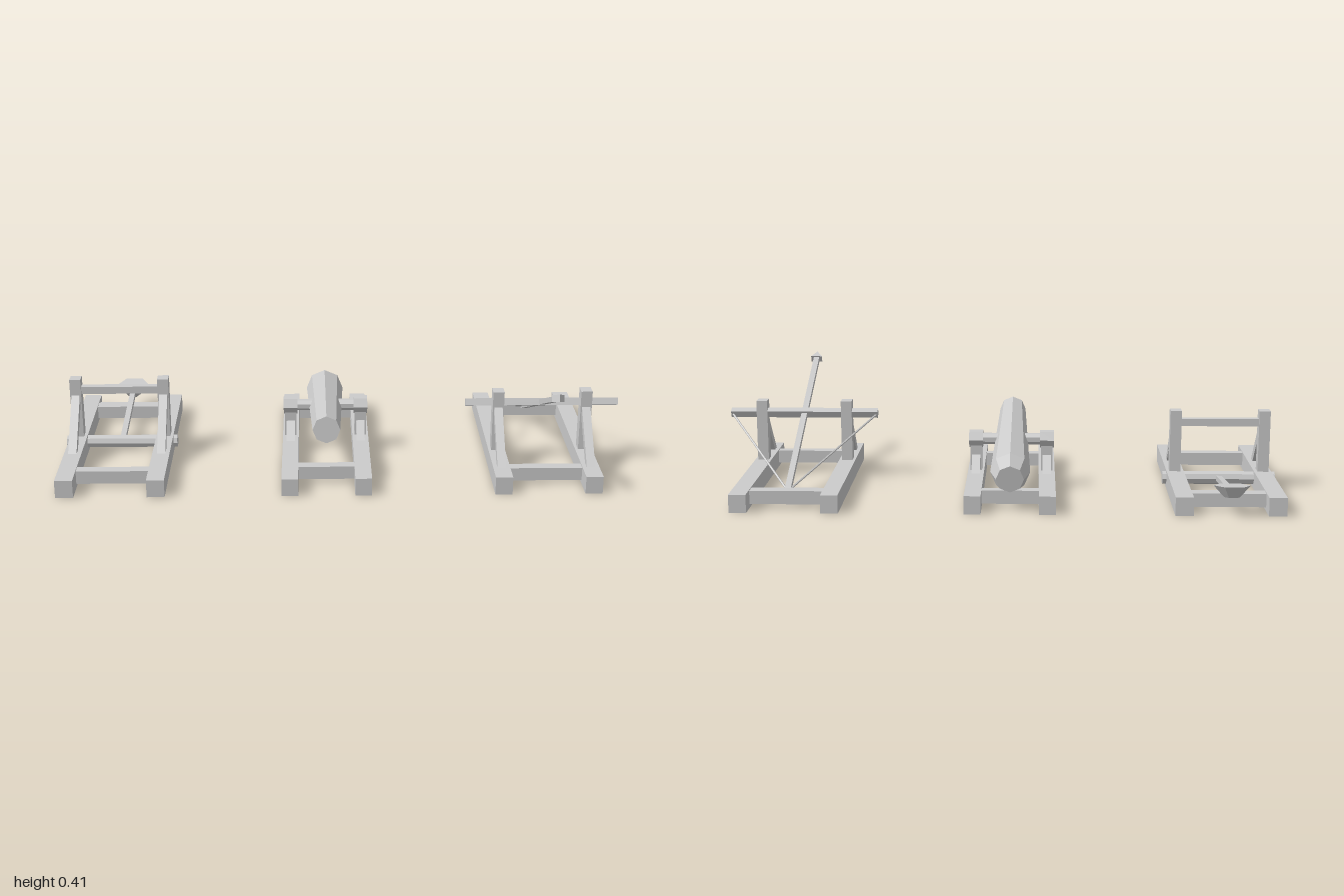
import * as THREE from 'three';

const material = new THREE.MeshStandardMaterial({ color: 0xcccccc, flatShading: true });

function add(parent, name, geometry, x = 0, y = 0, z = 0) {
  const mesh = new THREE.Mesh(geometry, material);
  mesh.name = name;
  mesh.position.set(x, y, z);
  parent.add(mesh);
  return mesh;
}

const box = (w, h, d) => new THREE.BoxGeometry(w, h, d);

// Round bar lying along x
const barX = (radius, length, sides, turn = 0) =>
  new THREE.CylinderGeometry(radius, radius, length, sides).rotateY(turn).rotateZ(Math.PI / 2);

// Slanted strut in the zy plane: from the rail at distance "reach" to a post face at z = 0
function strut(reach, foot, low, high, width, dir = 1) {
  const base = 0.06;
  const shape = new THREE.Shape([
    new THREE.Vector2(dir * reach, base),
    new THREE.Vector2(0, high),
    new THREE.Vector2(0, low),
    new THREE.Vector2(dir * (reach - foot), base),
  ]);
  return new THREE.ExtrudeGeometry(shape, { depth: width, bevelEnabled: false })
    .translate(0, 0, -width / 2).rotateY(-Math.PI / 2);
}

// Two long rails joined by two cross beams
function baseFrame(name, x, offset, railWidth, beams) {
  const g = new THREE.Group();
  g.name = name;
  g.position.x = x;
  for (const s of [-1, 1]) add(g, 'rail', box(railWidth, 0.064, 0.8), s * offset, 0.032, -0.026);
  for (const [z, depth] of beams) add(g, 'crossBeam', box(offset * 2, 0.047, depth), 0, 0.037, z);
  return g;
}

// Pair of tall posts with front braces
function bracedPosts(g, offset, z) {
  for (const s of [-1, 1]) {
    add(g, 'post', box(0.04, 0.227, 0.044), s * offset, 0.1735, z);
    add(g, 'brace', strut(0.163, 0.038, 0.188, 0.229, 0.03), s * offset, 0, z + 0.021);
  }
}

function catapult() {
  const g = baseFrame('catapult', -0.797, 0.158, 0.062, [[-0.335, 0.048], [0.27, 0.038]]);
  const z = -0.035;
  bracedPosts(g, 0.159, z);
  add(g, 'topBar', box(0.3, 0.027, 0.027), 0, 0.243, z);
  add(g, 'axle', barX(0.024, 0.406, 8), 0, 0.036, z);
  // Throwing arm and bucket
  const arm = new THREE.Group();
  arm.name = 'throwingArm';
  arm.position.set(0, 0.036, z);
  arm.rotation.x = 0.122;
  add(arm, 'armShaft', box(0.02, 0.018, 0.38), 0, 0, -0.19);
  add(arm, 'bucket', new THREE.CylinderGeometry(0.063, 0.027, 0.04, 6).rotateY(Math.PI / 6), 0, 0.003, -0.394);
  g.add(arm);
  return g;
}

function cannon() {
  const g = baseFrame('cannon', -0.046, 0.128, 0.058, [[-0.317, 0.036], [0.245, 0.038]]);
  const z = -0.034, y = 0.177;
  // Eight-sided tapered barrel with a chamfered breech
  const profile = [[0, 0], [0.048, 0], [0.069, 0.068], [0.048, 0.713], [0, 0.713]]
    .map(([r, h]) => new THREE.Vector2(r, h));
  const barrel = add(g, 'barrel', new THREE.LatheGeometry(profile, 8), 0, 0.117, -0.4);
  barrel.rotation.x = Math.PI / 2 - 0.144;
  add(g, 'trunnion', barX(0.021, 0.28, 8, Math.PI / 8), 0, y, z);
  // Trunnion supports
  for (const s of [-1, 1]) {
    add(g, 'trunnionHolder', barX(0.033, 0.05, 6), s * 0.128, y, z);
    add(g, 'supportPost', box(0.042, 0.115, 0.04), s * 0.128, 0.119, z);
    for (const d of [-1, 1])
      add(g, 'supportBrace', strut(0.062, 0.036, 0.085, 0.122, 0.03, d), s * 0.128, 0, z + d * 0.019);
  }
  return g;
}

function ballista() {
  const g = baseFrame('ballista', 0.727, 0.157, 0.06, [[-0.335, 0.048], [0.27, 0.038]]);
  const z = 0.113, y = 0.24, tilt = 0.415;
  bracedPosts(g, 0.157, z);
  const bow = add(g, 'bow', box(0.546, 0.026, 0.026), 0, y, z - 0.004);
  bow.rotation.x = -tilt;
  // Bolt running along the tilted plane of the bow and string
  const bolt = new THREE.Group();
  bolt.name = 'bolt';
  bolt.position.set(0, y, z);
  bolt.rotation.x = -tilt;
  add(bolt, 'boltShaft', box(0.021, 0.018, 0.85), 0, 0, -0.05);
  const head = new THREE.Shape([
    new THREE.Vector2(-0.021, 0), new THREE.Vector2(0.021, 0), new THREE.Vector2(0, 0.034),
  ]);
  add(bolt, 'boltHead', new THREE.ExtrudeGeometry(head, { depth: 0.024, bevelEnabled: false })
    .translate(0, 0, -0.012).rotateX(Math.PI / 2), 0, 0, 0.362);
  g.add(bolt);
  // Drawn bow string
  const nock = new THREE.Vector3(0, 0.05, -0.318);
  for (const s of [-1, 1]) {
    const path = new THREE.LineCurve3(new THREE.Vector3(s * 0.268, y - 0.004, z - 0.01), nock);
    add(g, 'bowString', new THREE.TubeGeometry(path, 1, 0.004, 5));
  }
  return g;
}

export function createModel() {
  const model = new THREE.Group();
  model.name = 'siegeEngines';
  model.add(catapult(), cannon(), ballista());
  return model;
}
